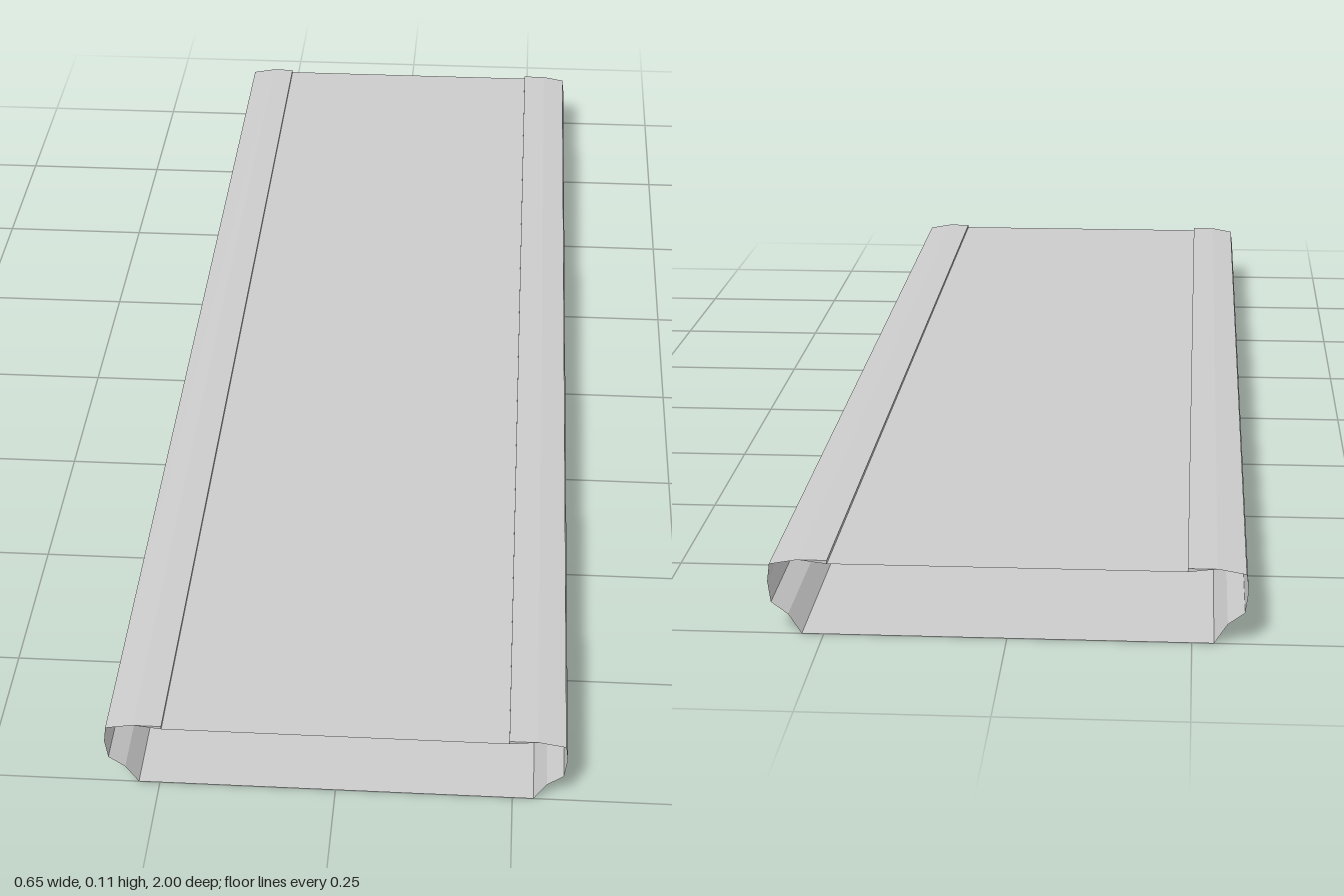
import * as THREE from 'three';

const HALF_LENGTH = 1;

// Right half of the cross-section, from the bottom corner up to the recessed top
const HALF_PROFILE = [
  [0.28, 0], [0.298, 0.028], [0.321, 0.045], [0.325, 0.075],
  [0.322, 0.1], [0.283, 0.107], [0.243, 0.107], [0.243, 0.102],
];

function geometryFrom(positions) {
  const geometry = new THREE.BufferGeometry();
  geometry.setAttribute('position', new THREE.Float32BufferAttribute(positions, 3));
  geometry.computeVertexNormals();
  return geometry;
}

// Sweep a run of profile points along z as flat, open-ended strips
function sweep(points) {
  const positions = [];
  for (let i = 0; i < points.length - 1; i++) {
    const [ax, ay] = points[i];
    const [bx, by] = points[i + 1];
    const L = HALF_LENGTH;
    positions.push(ax, ay, -L, bx, by, -L, bx, by, L);
    positions.push(ax, ay, -L, bx, by, L, ax, ay, L);
  }
  return geometryFrom(positions);
}

export function createModel() {
  const group = new THREE.Group();
  group.name = 'hollowPlank';
  const material = new THREE.MeshStandardMaterial({
    color: 0xcccccc, flatShading: true, side: THREE.DoubleSide,
  });
  const add = (name, geometry) => {
    const mesh = new THREE.Mesh(geometry, material);
    mesh.name = name;
    group.add(mesh);
  };

  const right = HALF_PROFILE;
  const left = right.map(([x, y]) => [-x, y]).reverse();
  const last = right.length - 1;

  // Thin open-ended shell
  add('bottomPanel', sweep([left[last], right[0]]));
  add('leftRail', sweep(right));
  add('topPanel', sweep([right[last], left[0]]));
  add('rightRail', sweep(left));

  // Small wedges closing the raised lips at both ends
  for (const s of [1, -1]) {
    for (const z of [HALF_LENGTH, -HALF_LENGTH]) {
      const a = [s * 0.243, 0.102, z];
      const b = [s * 0.283, 0.107, z];
      const c = [s * 0.243, 0.107, z];
      const corners = s * z > 0 ? [a, b, c] : [a, c, b];
      add('lipEnd', geometryFrom(corners.flat()));
    }
  }
  return group;
}
